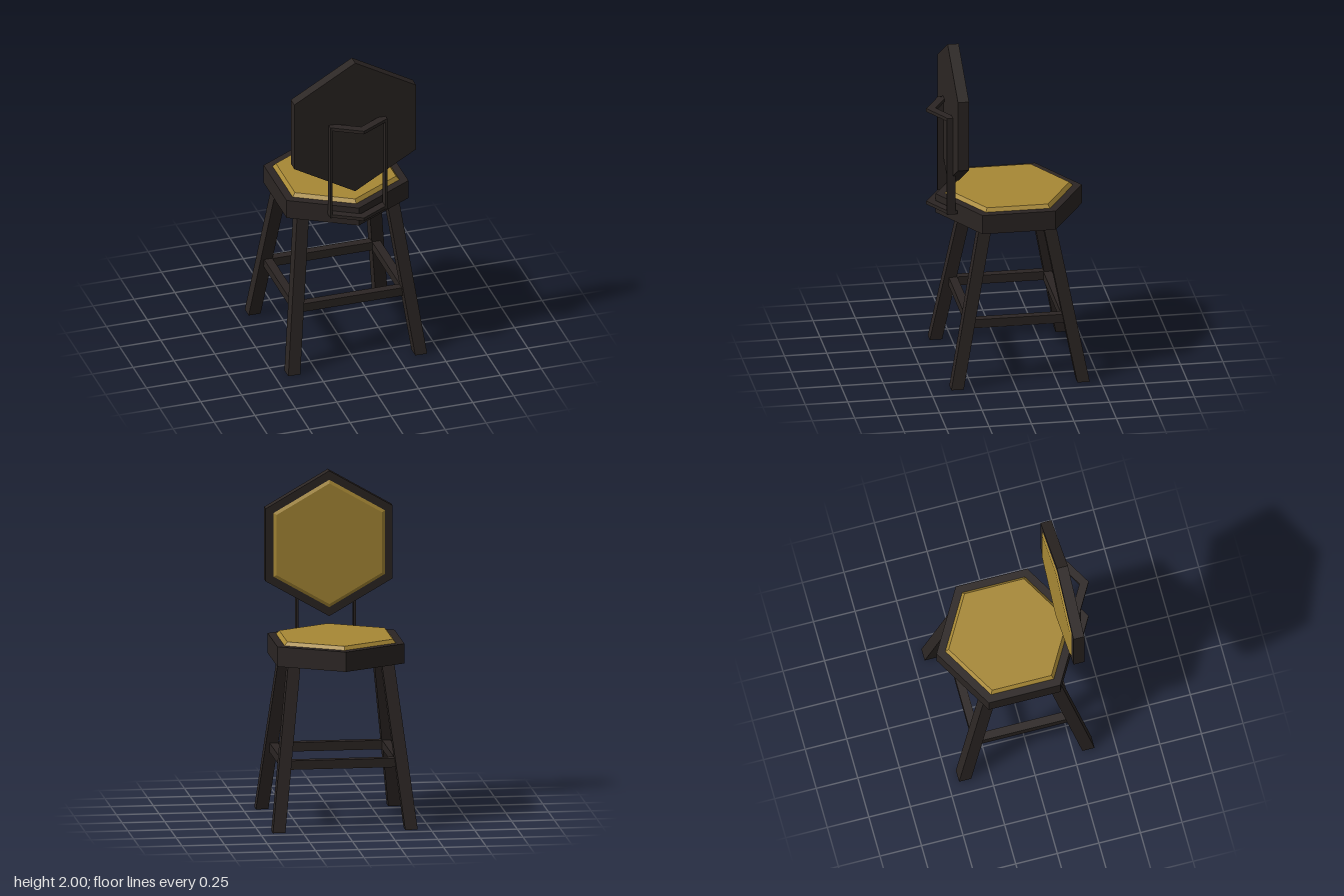
import * as THREE from 'three';

const wood = new THREE.MeshStandardMaterial({ color: 0x2b2523, flatShading: true });
const fabric = new THREE.MeshStandardMaterial({ color: 0xa78835, flatShading: true });

const CZ = -0.03; // centre of seat and legs in z

function add(parent, name, geometry, material, x = 0, y = 0, z = 0) {
  const mesh = new THREE.Mesh(geometry, material);
  mesh.name = name;
  mesh.position.set(x, y, z);
  parent.add(mesh);
  return mesh;
}

// Hexagonal panel with a bevelled cushion on its upper side, base at y = 0
function hexPanel(name, thickness, cushionHeight) {
  const group = new THREE.Group();
  group.name = name;
  add(group, name + 'Frame', new THREE.CylinderGeometry(0.43, 0.43, thickness, 6), wood, 0, thickness / 2);
  add(group, name + 'Cushion', new THREE.CylinderGeometry(0.357, 0.377, cushionHeight, 6), fabric,
    0, thickness + cushionHeight / 2);
  return group;
}

// Splayed leg: a box sheared so both ends stay level
function legGeometry(sx, sz) {
  const h = 0.96;
  const g = new THREE.BoxGeometry(0.073, h, 0.073);
  g.translate(0, h / 2, 0);
  const p = g.attributes.position;
  for (let i = 0; i < p.count; i++) {
    const t = p.getY(i) / h;
    p.setX(i, p.getX(i) + sx * THREE.MathUtils.lerp(0.388, 0.274, t));
    p.setZ(i, p.getZ(i) + sz * THREE.MathUtils.lerp(0.371, 0.188, t));
  }
  g.computeVertexNormals();
  return g;
}

// Flat V-shaped bracket lying in the xz plane
function bracketGeometry(height) {
  const w = 0.174, drop = 0.1, band = 0.055, apex = 0.458;
  const outline = [[-w, apex - drop], [0, apex], [w, apex - drop],
    [w, apex - drop - band], [0, apex - band], [-w, apex - drop - band]];
  const shape = new THREE.Shape(outline.map(([x, z]) => new THREE.Vector2(x, z)));
  const g = new THREE.ExtrudeGeometry(shape, { depth: height, bevelEnabled: false });
  g.rotateX(Math.PI / 2); // shape y becomes z, depth runs downwards
  return g;
}

export function createModel() {
  const chair = new THREE.Group();
  chair.name = 'chair';

  // Seat
  const seat = hexPanel('seat', 0.117, 0.021);
  seat.position.set(0, 0.948, CZ);
  chair.add(seat);

  // Backrest, cushion facing the seat
  const backrest = hexPanel('backrest', 0.065, 0.009);
  backrest.rotation.x = -Math.PI / 2;
  backrest.position.set(0, 1.57, 0.33);
  chair.add(backrest);

  // Legs
  for (const sx of [-1, 1]) {
    for (const sz of [-1, 1]) {
      add(chair, (sz > 0 ? 'front' : 'back') + (sx > 0 ? 'Left' : 'Right') + 'Leg',
        legGeometry(sx, sz), wood, 0, 0, CZ);
    }
  }

  // Stretchers joining neighbouring legs
  for (const s of [-1, 1]) {
    add(chair, 'crossStretcher', new THREE.BoxGeometry(0.66, 0.053, 0.05), wood, 0, 0.379, CZ + s * 0.278);
    add(chair, 'sideStretcher', new THREE.BoxGeometry(0.05, 0.053, 0.58), wood, s * 0.33, 0.379, CZ);
  }

  // Support frame behind the backrest
  const support = new THREE.Group();
  support.name = 'backSupport';
  support.position.x = 0.012;
  for (const s of [-1, 1]) {
    add(support, 'supportPost', new THREE.BoxGeometry(0.013, 0.605, 0.052), wood, s * 0.1675, 1.308, 0.339);
  }
  add(support, 'upperBracket', bracketGeometry(0.02), wood, 0, 1.61);
  add(support, 'lowerBracket', bracketGeometry(0.02), wood, 0, 1.028);
  chair.add(support);

  return chair;
}
